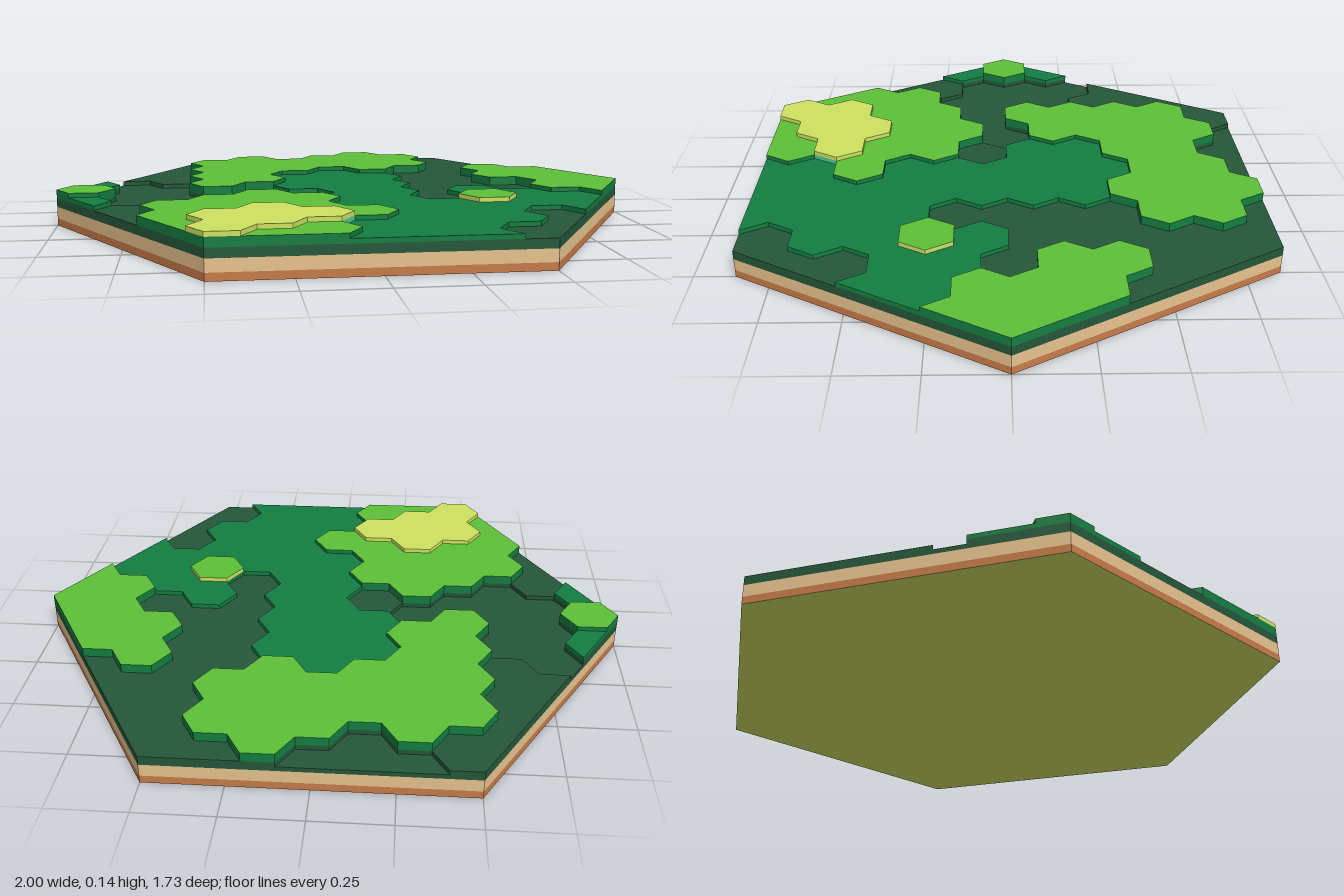
import * as THREE from 'three';

const S = Math.sqrt(3);
const HALF = S / 2;       // half depth of the slab
const R = 0.1;            // tile radius
const STEP = R * S;       // tile spacing along z
const BASE_TOP = 0.065;   // where the terrain starts
const TOPS = [0.08, 0.095, 0.11, 0.125, 0.14]; // terrain levels 0 to 4

// One string per tile column, from -x to +x; each digit is a level, from back to front
const COLUMNS = [
  '232', '100011', '111000333', '1333303344', '03333033443', '0332213343',
  '03322222322',
  '3332222222', '13311112222', '1111123221', '113312211', '133322', '333',
];

const mat = (name, color) => {
  const m = new THREE.MeshStandardMaterial({ color });
  m.name = name;
  return m;
};

// The six half-planes of the slab outline: nx * x + nz * z <= HALF
const PLANES = [...Array(6)].map((_, i) => {
  const a = Math.PI / 6 + (i * Math.PI) / 3;
  return [Math.cos(a), Math.sin(a)];
});
const outside = (x, z) => PLANES.some(([nx, nz]) => nx * x + nz * z > HALF + 1e-4);

// Cuts a convex polygon to the slab outline
function clip(poly) {
  for (const [nx, nz] of PLANES) {
    const out = [];
    poly.forEach((a, i) => {
      const b = poly[(i + 1) % poly.length];
      const da = nx * a[0] + nz * a[1] - HALF;
      const db = nx * b[0] + nz * b[1] - HALF;
      if (da <= 1e-6) out.push(a);
      if ((da < -1e-6 && db > 1e-6) || (da > 1e-6 && db < -1e-6)) {
        const t = da / (da - db);
        out.push([a[0] + (b[0] - a[0]) * t, a[1] + (b[1] - a[1]) * t]);
      }
    });
    poly = out;
  }
  return poly;
}

export function createModel() {
  const model = new THREE.Group();
  model.name = 'hexTerrain';
  const colors = {
    soil: mat('brown soil', 0xc77b48),
    sand: mat('tan sand', 0xe8c48f),
    dark: mat('dark green', 0x24573a),
    medium: mat('forest green', 0x137e41),
    light: mat('grass green', 0x5dc038),
    yellow: mat('yellow green', 0xcfe262),
    mint: mat('mint green', 0x4fc99a),
  };
  const add = (name, geometry, material) => {
    const mesh = new THREE.Mesh(geometry, material);
    mesh.name = name;
    model.add(mesh);
  };

  // Slab: underside and two earth layers
  add('underside', new THREE.CircleGeometry(1, 6).rotateX(Math.PI / 2), colors.yellow);
  const layer = (name, y0, y1, material) => {
    const g = new THREE.CylinderGeometry(1, 1, y1 - y0, 6, 1, true).rotateY(Math.PI / 6);
    g.translate(0, (y0 + y1) / 2, 0);
    const flat = g.toNonIndexed();
    flat.computeVertexNormals();
    add(name, flat, material);
  };
  layer('soilLayer', 0, 0.025, colors.soil);
  layer('sandLayer', 0.025, BASE_TOP, colors.sand);

  // Tile list
  const tiles = [];
  COLUMNS.forEach((col, c) => [...col].forEach((d, i) => tiles.push({
    x: (c - 6) * R * 1.5, z: (i - (col.length - 1) / 2) * STEP, level: +d,
  })));
  const levelAt = (x, z) => {
    if (outside(x, z)) return -1;
    let best = tiles[0], dist = Infinity;
    for (const t of tiles) {
      const d = (t.x - x) ** 2 + (t.z - z) ** 2;
      if (d < dist) { dist = d; best = t; }
    }
    return best.level;
  };

  // Triangles gathered by part
  const parts = {};
  const tri = (part, ...pts) => (parts[part] ??= []).push(...pts.flat());
  const topNames = ['lowGround', 'darkGround', 'forestGround', 'grassGround', 'hilltop'];
  const wallNames = ['rimWall', 'darkWall', 'forestWall', 'grassWall', 'hilltopWall'];

  for (const tile of tiles) {
    const corners = [...Array(6)].map((_, i) => [
      tile.x + R * Math.cos((i * Math.PI) / 3), tile.z + R * Math.sin((i * Math.PI) / 3),
    ]);
    const poly = clip(corners);
    if (poly.length < 3) continue;
    const at = ([x, z], y) => [x, y, z];
    const y = TOPS[tile.level];
    for (let i = 1; i < poly.length - 1; i++) {
      tri(topNames[tile.level], at(poly[0], y), at(poly[i + 1], y), at(poly[i], y));
    }
    // Walls only where the neighbour is lower, one band per level
    const lone = Math.abs(tile.x - 0.45) < 0.01 && Math.abs(tile.z - 0.26) < 0.01;
    poly.forEach((a, i) => {
      const b = poly[(i + 1) % poly.length];
      const dx = b[0] - a[0], dz = b[1] - a[1], len = Math.hypot(dx, dz);
      if (len < 1e-4) return;
      const next = levelAt((a[0] + b[0]) / 2 + (dz / len) * 0.01, (a[1] + b[1]) / 2 - (dx / len) * 0.01);
      for (let k = next + 1; k <= tile.level; k++) {
        const y0 = k ? TOPS[k - 1] : BASE_TOP, y1 = TOPS[k];
        let part = wallNames[k];
        if (lone && k === 3) part = 'knollWall';
        if (tile.level === 4 && next === 2 && k === 3) part = 'cliffWall';
        tri(part, at(b, y0), at(a, y0), at(a, y1));
        tri(part, at(b, y0), at(a, y1), at(b, y1));
      }
    });
  }

  const paint = {
    lowGround: 'dark', darkGround: 'dark', forestGround: 'medium', grassGround: 'light', hilltop: 'yellow',
    rimWall: 'dark', darkWall: 'dark', forestWall: 'medium', grassWall: 'medium',
    hilltopWall: 'yellow', knollWall: 'yellow', cliffWall: 'mint',
  };
  for (const [name, positions] of Object.entries(parts)) {
    const g = new THREE.BufferGeometry();
    g.setAttribute('position', new THREE.Float32BufferAttribute(positions, 3));
    g.computeVertexNormals();
    add(name, g, colors[paint[name]]);
  }
  return model;
}
